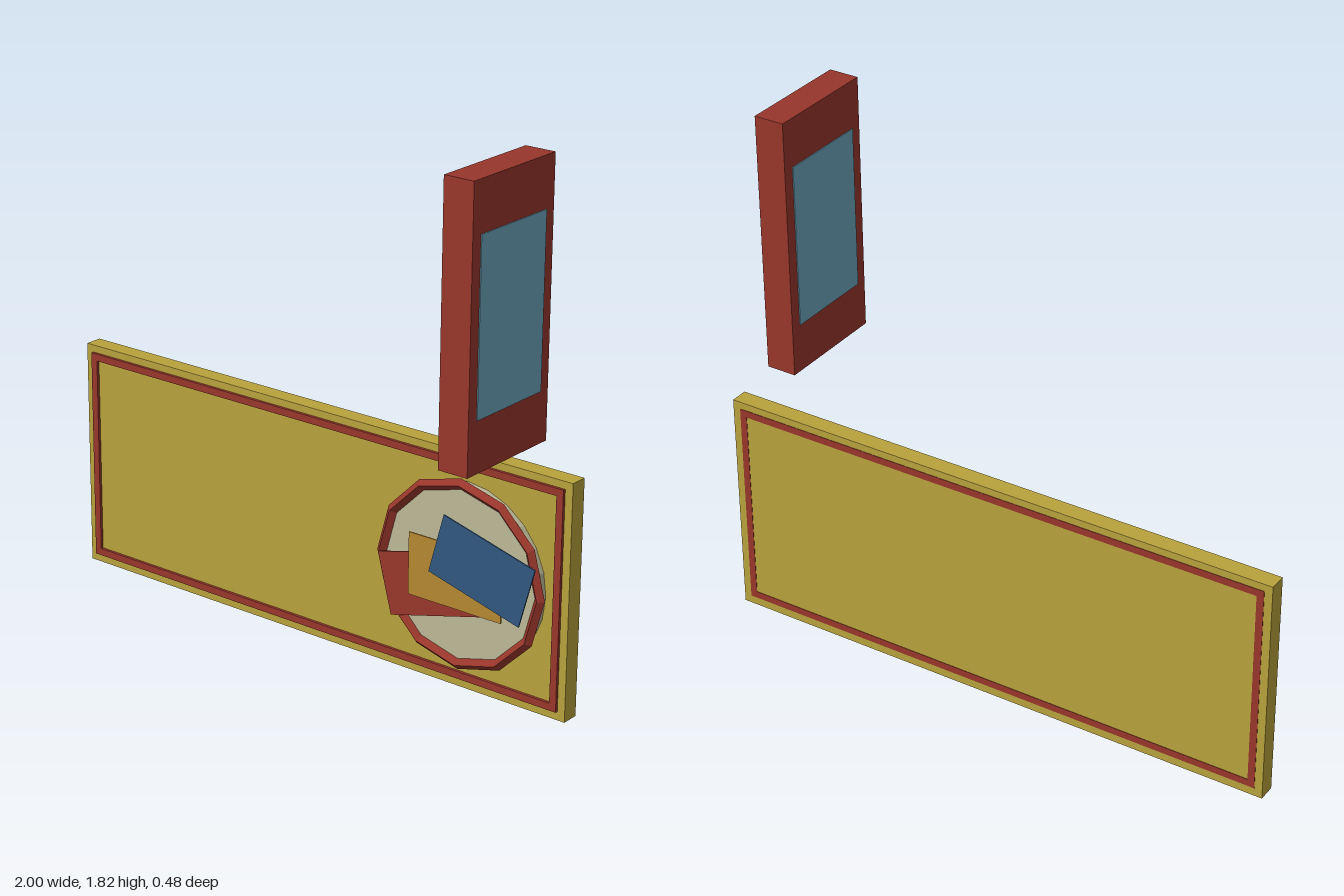
import * as THREE from 'three';

const mat = (color) => new THREE.MeshStandardMaterial({ color, flatShading: true });
const gold = mat(0xb8a23c), red = mat(0x98362b), cream = mat(0xbdb896);
const orange = mat(0xb58832), navy = mat(0x30577f), glass = mat(0x6fa6bd);

export function createModel() {
  const model = new THREE.Group();
  const add = (name, geometry, material, x, y, z, parent = model) => {
    const mesh = new THREE.Mesh(geometry, material);
    mesh.name = name;
    mesh.position.set(x, y, z);
    parent.add(mesh);
    return mesh;
  };

  // Long wall board
  add('board', new THREE.BoxGeometry(2, 0.8, 0.061), gold, 0, 0.4, -0.2065);

  // Border strip, standing proud of the front and slightly of the back
  const rect = (path, w, h) => path
    .moveTo(-w / 2, -h / 2).lineTo(w / 2, -h / 2).lineTo(w / 2, h / 2).lineTo(-w / 2, h / 2).closePath();
  const outline = rect(new THREE.Shape(), 1.945, 0.745);
  outline.holes.push(rect(new THREE.Path(), 1.895, 0.695));
  add('border', new THREE.ExtrudeGeometry(outline, { depth: 0.0725, bevelEnabled: false }),
    red, 0, 0.402, -0.2385);

  // Round emblem: disc, faceted rim and three fanned cards
  const emblem = new THREE.Group();
  emblem.name = 'emblem';
  emblem.position.set(0.61, 0.402, 0);
  model.add(emblem);
  add('disc', new THREE.CylinderGeometry(0.305, 0.305, 0.03, 24).rotateX(Math.PI / 2),
    cream, 0, 0, -0.161, emblem);
  add('rim', new THREE.TorusGeometry(0.306, 0.0185, 4, 12), red, 0, 0, -0.143, emblem);
  [['redCard', red, -1], ['orangeCard', orange, 0], ['blueCard', navy, 1]].forEach(([name, m, i]) => {
    const card = add(name, new THREE.BoxGeometry(0.36, 0.213, 0.005), m,
      i * 0.104, i * 0.053, -0.119 + i * 0.005, emblem);
    card.rotation.z = -i * 0.26;
  });

  // Projecting sign with a panel on each side
  const sign = new THREE.Group();
  sign.name = 'projectingSign';
  sign.position.set(0.852, 1.37, 0.0375);
  model.add(sign);
  add('signCase', new THREE.BoxGeometry(0.106, 0.9, 0.401), red, 0, 0, 0, sign);
  for (const side of [-1, 1]) {
    add(side > 0 ? 'leftPanel' : 'rightPanel', new THREE.BoxGeometry(0.006, 0.566, 0.322),
      glass, side * 0.053, 0.002, 0, sign);
  }
  return model;
}
